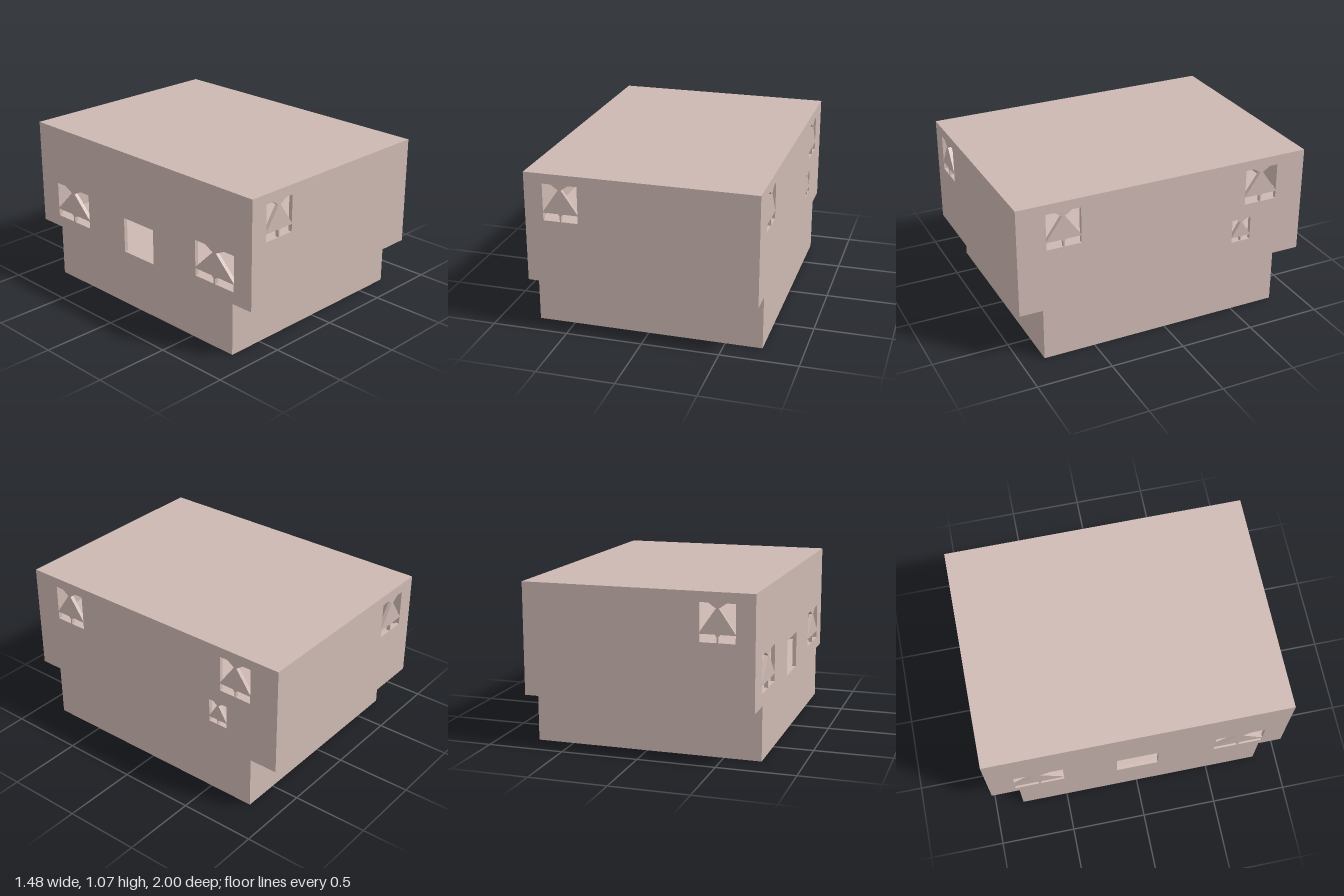
import * as THREE from 'three';

const W = 0.74, L = 1, T = 0.025;               // half width, half length, wall thickness
const ROOF = 1.04, TOP = 1.07, STEP = 0.35, FLOOR = 0.69;
const BASE_FRONT = 0.845, BASE_BACK = -0.81;

const mat = new THREE.MeshStandardMaterial({ color: 0xcdb8b2, flatShading: true, side: THREE.DoubleSide });

// One half of the window openings, in 0..1 units: upper gap and lower pane
const UPPER = [[0, 0.24], [0, 1], [0.25, 1], [0.37, 0.92], [0.46, 0.86], [0.42, 0.81]];
const LOWER = [[0, 0], [0.48, 0], [0.48, 0.15], [0.43, 0.21], [0, 0.21]];

const toPath = (pts) => new THREE.Path(pts.map(([x, y]) => new THREE.Vector2(x, y)));

// Window openings between two corners, mirrored about the middle
function windowHoles(x0, x1, y0, y1) {
  const holes = [];
  for (const half of [UPPER, LOWER]) {
    for (const flip of [false, true]) {
      holes.push(toPath(half.map(([u, v]) => [x0 + (x1 - x0) * (flip ? 1 - u : u), y0 + (y1 - y0) * v])));
    }
  }
  return holes;
}

function wallGeometry(outline, holes) {
  const shape = new THREE.Shape(outline.map(([x, y]) => new THREE.Vector2(x, y)));
  shape.holes.push(...holes);
  return new THREE.ExtrudeGeometry(shape, { depth: T, bevelEnabled: false });
}

export function createModel() {
  const house = new THREE.Group();
  house.name = 'house';

  const add = (name, geometry) => {
    const mesh = new THREE.Mesh(geometry, mat);
    mesh.name = name;
    house.add(mesh);
    return mesh;
  };
  const slab = (name, hx, y0, y1, z0, z1) => {
    add(name, new THREE.BoxGeometry(hx * 2, y1 - y0, z1 - z0))
      .position.set(0, (y0 + y1) / 2, (z0 + z1) / 2);
  };

  // Side walls: stepped outline in (z, y), turned to face sideways
  const sideOutline = [
    [BASE_BACK, 0], [BASE_FRONT, 0], [BASE_FRONT, STEP], [L, STEP],
    [L, ROOF], [-L, ROOF], [-L, STEP], [BASE_BACK, STEP],
  ];
  const leftHoles = [
    ...windowHoles(0.58, 0.81, 0.765, 1.005),
    ...windowHoles(-0.8, -0.57, 0.765, 1.005),
    ...windowHoles(-0.62, -0.485, 0.505, 0.665),
  ];
  const doorway = toPath([[-0.14, 0.376], [0.14, 0.376], [0.14, 0.615], [-0.14, 0.615]]);
  const rightHoles = [
    ...windowHoles(-0.83, -0.5, 0.43, 0.67),
    ...windowHoles(0.525, 0.855, 0.43, 0.67),
    doorway,
  ];
  for (const [name, holes, x] of [['leftWall', leftHoles, W], ['rightWall', rightHoles, -W + T]]) {
    const wall = add(name, wallGeometry(sideOutline, holes));
    wall.rotation.y = -Math.PI / 2;
    wall.position.x = x;
  }

  // Front and back walls of the overhanging storeys
  const inner = W - T;
  const endOutline = [[-inner, STEP + T], [inner, STEP + T], [inner, ROOF], [-inner, ROOF]];
  for (const [name, z] of [['frontWall', L - T], ['backWall', -L]]) {
    add(name, wallGeometry(endOutline, windowHoles(-0.62, -0.395, 0.765, 1.005))).position.z = z;
  }

  // Walls of the recessed base
  slab('baseFrontWall', inner, 0, STEP, BASE_FRONT - T, BASE_FRONT);
  slab('baseBackWall', inner, 0, STEP, BASE_BACK, BASE_BACK + T);

  // Floors and roof
  slab('baseFloor', inner, 0, T, BASE_BACK + T, BASE_FRONT - T);
  slab('middleFloor', inner, STEP, STEP + T, -L, L);
  slab('upperFloor', inner, FLOOR - 0.015, FLOOR, -L + T, L - T);
  slab('roof', W, ROOF, TOP, -L, L);

  return house;
}
